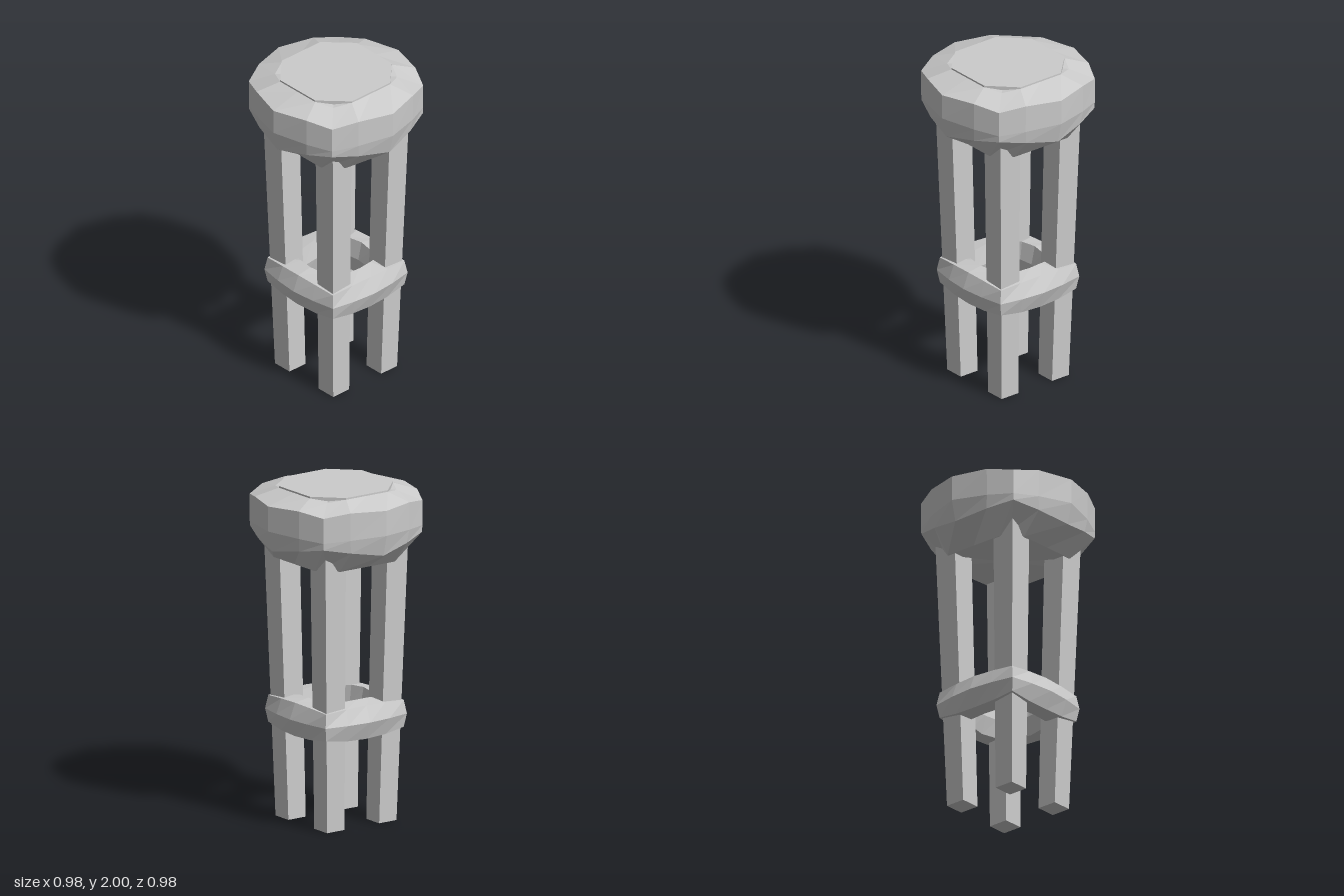
import * as THREE from 'three';

const material = new THREE.MeshStandardMaterial({ color: 0xcccccc, flatShading: true });

// A 16-point ring with four-fold symmetry.
// axis, mid and diag are [offset..., height] of the three kinds of corner.
function ring([ax, ay], [ms, mb, my], [d, dy]) {
  const points = [];
  for (let q = 0; q < 4; q++) {
    const c = Math.round(Math.cos(q * Math.PI / 2));
    const s = Math.round(Math.sin(q * Math.PI / 2));
    for (const [x, y, z] of [[ax, ay, 0], [mb, my, ms], [d, dy, d], [ms, my, mb]]) {
      points.push(new THREE.Vector3(x * c - z * s, y, x * s + z * c));
    }
  }
  return points;
}

// Skin through rings, going up the outside; either capped or closed into a loop.
function loft(rings, closed) {
  const pos = [];
  const tri = (...p) => p.forEach(v => pos.push(v.x, v.y, v.z));
  const n = rings[0].length;
  const spans = closed ? rings.length : rings.length - 1;
  for (let i = 0; i < spans; i++) {
    const lo = rings[i], hi = rings[(i + 1) % rings.length];
    for (let j = 0; j < n; j++) {
      const k = (j + 1) % n;
      tri(lo[j], hi[j], lo[k]);
      tri(hi[j], hi[k], lo[k]);
    }
  }
  if (!closed) {
    const bottom = rings[0], top = rings[rings.length - 1];
    const cb = new THREE.Vector3(0, bottom[0].y, 0);
    const ct = new THREE.Vector3(0, top[0].y, 0);
    for (let j = 0; j < n; j++) {
      const k = (j + 1) % n;
      tri(cb, bottom[j], bottom[k]);
      tri(ct, top[k], top[j]);
    }
  }
  const geometry = new THREE.BufferGeometry();
  geometry.setAttribute('position', new THREE.Float32BufferAttribute(pos, 3));
  geometry.computeVertexNormals();
  return geometry;
}

// Tapered, splayed square leg in the given quadrant.
function legGeometry(sx, sz) {
  const height = 1.7;
  const geometry = new THREE.BoxGeometry(1, height, 1).translate(0, height / 2, 0);
  const p = geometry.attributes.position;
  for (let i = 0; i < p.count; i++) {
    const t = p.getY(i) / height;
    const centre = 0.1875 + 0.037 * t;
    const width = 0.125 + 0.023 * t;
    p.setX(i, sx * centre + p.getX(i) * width);
    p.setZ(i, sz * centre + p.getZ(i) * width);
  }
  geometry.computeVertexNormals();
  return geometry;
}

export function createModel() {
  const group = new THREE.Group();
  group.name = 'stool';
  const add = (name, geometry) => {
    const mesh = new THREE.Mesh(geometry, material);
    mesh.name = name;
    group.add(mesh);
  };

  // Faceted cushion
  add('seat', loft([
    ring([0.3, 1.565], [0.2, 0.3, 1.565], [0.26, 1.6]),
    ring([0.46, 1.665], [0.2, 0.415, 1.7], [0.355, 1.73]),
    ring([0.49, 1.79], [0.213, 0.425, 1.78], [0.357, 1.77]),
    ring([0.49, 1.94], [0.213, 0.427, 1.945], [0.357, 1.92]),
    ring([0.3, 1.99], [0.15, 0.3, 1.99], [0.25, 1.975]),
  ]));

  // Clipped-corner panel on top of the cushion
  const panelRing = y => ring([0.3, y], [0.15, 0.3, y], [0.225, y]);
  add('seatPanel', loft([panelRing(1.96), panelRing(2)]));

  // Four legs
  for (const sx of [1, -1]) {
    for (const sz of [1, -1]) {
      add((sz > 0 ? 'front' : 'back') + (sx > 0 ? 'Left' : 'Right') + 'Leg', legGeometry(sx, sz));
    }
  }

  // Footrest band around the legs, with bulging sides
  add('footrest', loft([
    ring([0.295, 0.535], [0.14, 0.29, 0.54], [0.28, 0.56]),
    ring([0.333, 0.64], [0.148, 0.32, 0.64], [0.293, 0.64]),
    ring([0.295, 0.735], [0.14, 0.29, 0.73], [0.28, 0.72]),
    ring([0.2, 0.75], [0.1, 0.185, 0.745], [0.16, 0.73]),
    ring([0.175, 0.64], [0.09, 0.165, 0.64], [0.145, 0.64]),
    ring([0.2, 0.53], [0.1, 0.185, 0.535], [0.16, 0.55]),
  ], true));

  return group;
}
